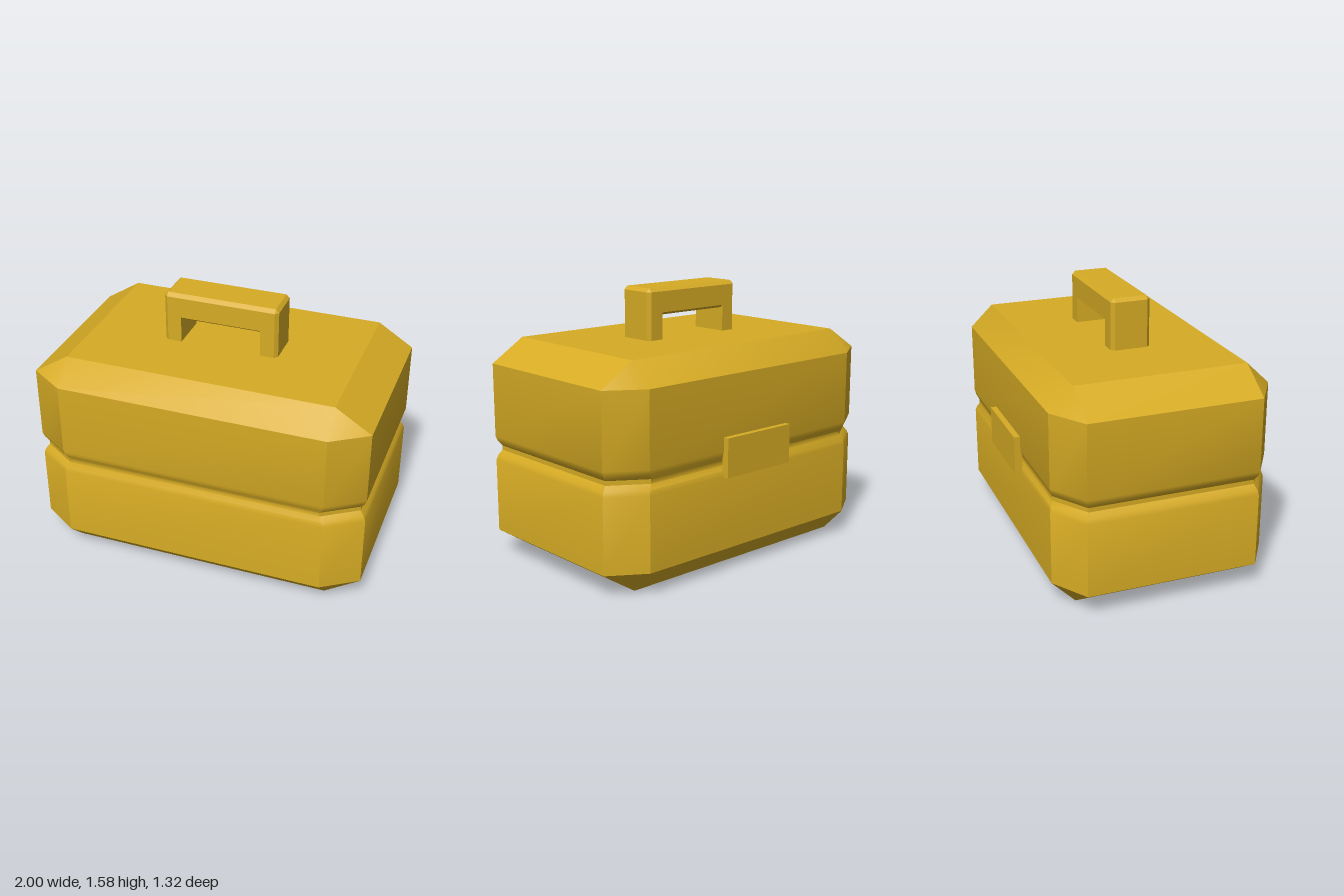
import * as THREE from 'three';
import { toCreasedNormals } from 'three/addons/utils/BufferGeometryUtils.js';

// Stacks chamfered rectangles [y, halfX, halfZ, cutX, cutZ] into a closed solid.
function loft(sections) {
  const rings = sections.map(([y, hx, hz, cx, cz]) => {
    const ix = hx - cx, iz = hz - cz;
    return [[hx, iz], [hx, -iz], [ix, -hz], [-ix, -hz], [-hx, -iz], [-hx, iz], [-ix, hz], [ix, hz]]
      .map(([x, z]) => new THREE.Vector3(x, y, z));
  });
  const pos = [];
  const tri = (a, b, c) => {
    if (new THREE.Triangle(a, b, c).getArea() < 1e-7) return;
    for (const p of [a, b, c]) pos.push(p.x, p.y, p.z);
  };
  for (let r = 0; r < rings.length - 1; r++) {
    const lo = rings[r], hi = rings[r + 1];
    for (let i = 0; i < 8; i++) {
      const j = (i + 1) % 8;
      tri(lo[i], lo[j], hi[j]);
      tri(lo[i], hi[j], hi[i]);
    }
  }
  const first = rings[0], last = rings[rings.length - 1];
  for (let i = 1; i < 7; i++) {
    tri(first[0], first[i + 1], first[i]);
    tri(last[0], last[i], last[i + 1]);
  }
  const g = new THREE.BufferGeometry();
  g.setAttribute('position', new THREE.Float32BufferAttribute(pos, 3));
  return toCreasedNormals(g, 0.55);
}

export function createModel() {
  const model = new THREE.Group();
  model.name = 'toolbox';
  const paint = new THREE.MeshStandardMaterial({ color: 0xd6ab24 });
  paint.name = 'mustard yellow';

  const add = (parent, name, geometry, x = 0, y = 0, z = 0) => {
    const mesh = new THREE.Mesh(geometry, paint);
    mesh.name = name;
    mesh.position.set(x, y, z);
    parent.add(mesh);
    return mesh;
  };

  // Chamfered case with a groove between base and lid
  const HX = 1, HZ = 0.6425, CX = 0.21, CZ = 0.1375, midZ = 0.0175;
  const walls = [
    [0.14, 1], [0.575, 1], [0.603, 0.989], [0.632, 0.966],
    [0.658, 0.966], [0.688, 0.989], [0.717, 1], [1.15, 1],
  ].map(([y, s]) => [y, HX * s, HZ * s, CX * s, CZ * s]);
  const endCap = (y) => [y, HX - CX, HZ - CZ, 0, 0];
  add(model, 'case', loft([endCap(0), ...walls, endCap(1.283)]), 0, 0, midZ);

  // Carrying handle: chamfered bar, bevelled underside and two legs
  const handle = new THREE.Group();
  handle.name = 'handle';
  handle.position.z = midZ;
  model.add(handle);
  const W = 0.343, D = 0.118, C = 0.02, inner = 0.24;
  add(handle, 'handleBar', loft([
    [1.44, W, D, C, C],
    [1.562, W, D, C, C],
    [1.583, W - C, D - C, 0, 0],
  ]));
  add(handle, 'handleUnderside', loft([
    [1.425, inner, D - C, 0, 0],
    [1.44, inner, D, 0, 0],
  ]));
  const legShape = new THREE.Shape([
    [inner, -D], [W - C, -D], [W, -D + C], [W, D - C], [W - C, D], [inner, D],
  ].map(([x, z]) => new THREE.Vector2(x, z)));
  const legGeometry = new THREE.ExtrudeGeometry(legShape, { depth: 0.16, bevelEnabled: false });
  legGeometry.rotateX(-Math.PI / 2);
  add(handle, 'leftHandleLeg', legGeometry, 0, 1.28, 0);
  add(handle, 'rightHandleLeg', legGeometry, 0, 1.28, 0).rotation.y = Math.PI;

  // Plate across the groove at the back
  add(model, 'backPlate', new THREE.BoxGeometry(0.5, 0.23, 0.045), 0, 0.685, -0.6375);

  return model;
}
